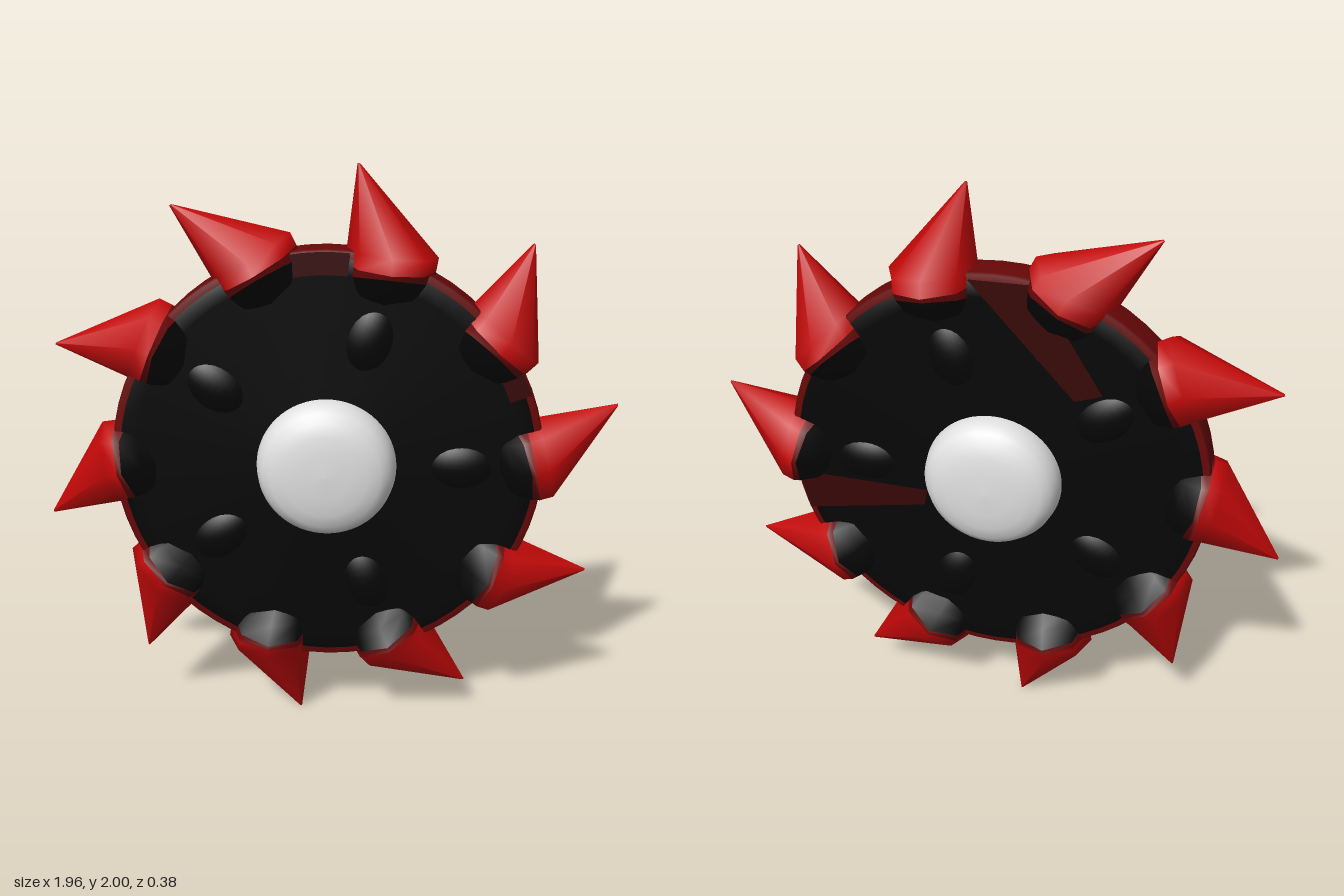
import * as THREE from 'three';

const mat = (name, color) => {
  const m = new THREE.MeshStandardMaterial({ color });
  m.name = name;
  return m;
};

// Skin over eight-sided rings, outermost first
// {r: distance out, t: sideways centre, w, d: half sizes, lift: extra distance out on the front and back}
function loft(rings, sides = 8) {
  const pos = [], idx = [];
  for (const { r, t, w, d, lift = 0 } of rings) {
    for (let i = 0; i < sides; i++) {
      const a = (i / sides) * Math.PI * 2;
      pos.push(r + lift * Math.abs(Math.sin(a)), t + w * Math.cos(a), d * Math.sin(a));
    }
  }
  for (let j = 0; j < rings.length - 1; j++) {
    for (let i = 0; i < sides; i++) {
      const a = j * sides + i, b = j * sides + (i + 1) % sides;
      idx.push(a, a + sides, b, b, a + sides, b + sides);
    }
  }
  const g = new THREE.BufferGeometry();
  g.setAttribute('position', new THREE.Float32BufferAttribute(pos, 3));
  g.setIndex(idx);
  g.computeVertexNormals();
  return g;
}

// Round solid about the z axis from [radius, z] points
function turned(points, segments = 64) {
  const g = new THREE.LatheGeometry(points.map(([x, y]) => new THREE.Vector2(x, y)), segments);
  return g.rotateX(Math.PI / 2);
}

// Full profile from its front half
const mirrored = (half) => [...half.map(([r, z]) => [r, -z]), ...[...half].reverse()];

export function createModel() {
  const red = mat('spike red', 0xc20808);
  const darkRed = mat('rim dark red', 0x680707);
  const deepRed = mat('streak deep red', 0x380606);
  const black = mat('disc black', 0x060606);
  const white = mat('hub white', 0xe2e2e2);

  const model = new THREE.Group();
  model.name = 'spikedWheel';
  const wheel = new THREE.Group();
  wheel.name = 'wheel';
  wheel.position.y = 1;
  model.add(wheel);

  const add = (parent, name, geometry, material) => {
    const m = new THREE.Mesh(geometry, material);
    m.name = name;
    parent.add(m);
    return m;
  };

  // Flat disc with a red rim band
  add(wheel, 'disc', turned(mirrored([[0, 0.066], [0.66, 0.066], [0.71, 0.063], [0.711, 0.05]])), black);
  add(wheel, 'rim', turned(mirrored([[0.7, 0.062], [0.73, 0.06], [0.737, 0.053]])), darkRed);

  // Pillow-shaped hub through both faces
  add(wheel, 'hub', turned(mirrored([[0, 0.19], [0.08, 0.187], [0.14, 0.179], [0.185, 0.165],
    [0.214, 0.143], [0.232, 0.11], [0.239, 0.07]])), white);

  // Five oval bosses showing on both faces
  const oval = new THREE.SphereGeometry(1, 32, 20).scale(0.15, 0.108, 0.09);
  for (let k = 0; k < 5; k++) {
    const a = (k / 5) * Math.PI * 2;
    const boss = add(wheel, 'ovalBoss', oval, black);
    boss.position.set(0.46 * Math.cos(a), 0.46 * Math.sin(a), 0);
    boss.rotation.z = a;
  }

  // Ten hooked spikes: pointed tip, dark band, black collar
  const tip = { r: 1.003, t: 0, w: 0.004, d: 0.004 };
  const shoulder = { r: 0.735, t: -0.14, w: 0.15, d: 0.142 };
  const base = { r: 0.688, t: -0.14, w: 0.147, d: 0.163 };
  const band = { r: 0.642, t: -0.138, w: 0.143, d: 0.158, lift: 0.032 };
  const waist = { r: 0.615, t: -0.135, w: 0.13, d: 0.115 };
  const foot = { r: 0.57, t: -0.13, w: 0.1, d: 0.06 };
  const tipGeo = loft([{ ...tip, w: 0, d: 0 }, tip, shoulder, base]);
  const bandGeo = loft([base, band]);
  const collarGeo = loft([band, waist, foot]);
  for (let k = 0; k < 10; k++) {
    const spike = new THREE.Group();
    spike.name = 'spike';
    spike.rotation.z = THREE.MathUtils.degToRad(12.3 + 36 * k);
    add(spike, 'spikeTip', tipGeo, red);
    add(spike, 'spikeBand', bandGeo, darkRed);
    add(spike, 'spikeCollar', collarGeo, black);
    wheel.add(spike);
  }

  // Red patches by the rim on the front face: [start, sweep] in degrees
  for (const [start, sweep] of [[84, 20], [21, 9]]) {
    const g = new THREE.RingGeometry(0.655, 0.73, 8, 1,
      THREE.MathUtils.degToRad(start), THREE.MathUtils.degToRad(sweep));
    add(wheel, 'frontPatch', g, deepRed).position.z = 0.068;
  }

  // Two red streaks on the back face
  const streaks = [
    [[0.72, -0.08], [0.69, -0.23], [0.25, -0.15], [0.24, -0.09]],
    [[0.08, 0.71], [-0.14, 0.71], [-0.36, 0.36], [-0.27, 0.33]],
  ];
  for (const pts of streaks) {
    const shape = new THREE.Shape(pts.map(([x, y]) => new THREE.Vector2(x, y)));
    const g = new THREE.ExtrudeGeometry(shape, { depth: 0.008, bevelEnabled: false });
    add(wheel, 'backStreak', g, deepRed).position.z = -0.069;
  }

  return model;
}
